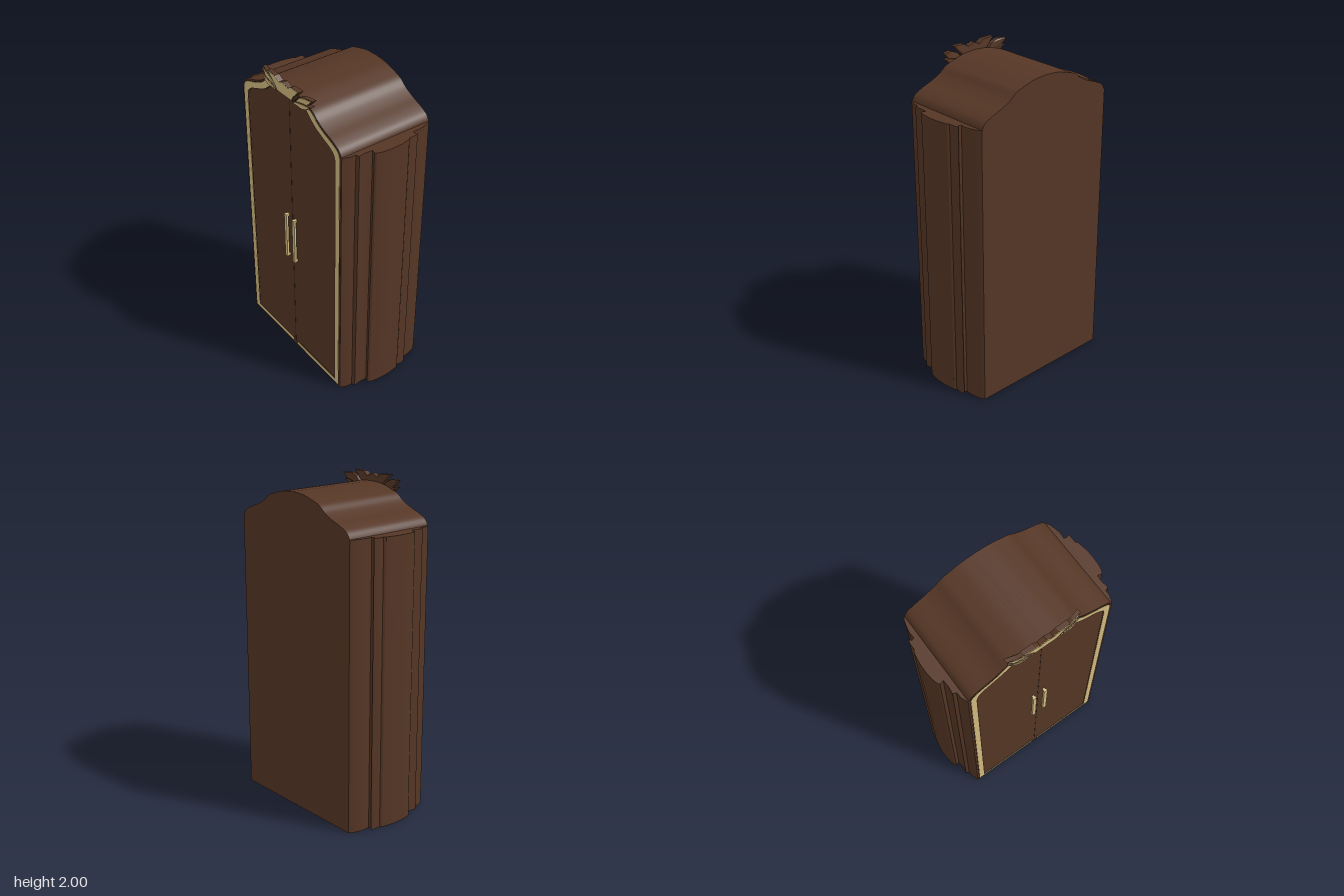
import * as THREE from 'three';
import { toCreasedNormals } from 'three/addons/utils/BufferGeometryUtils.js';

const V = (p) => new THREE.Vector2(p[0], p[1]);
const smooth = (pts, n = 24) => new THREE.SplineCurve(pts.map(V)).getPoints(n);

export function createModel() {
  const wood = new THREE.MeshStandardMaterial({ color: 0x553625 });
  wood.name = 'walnut wood';
  const groove = new THREE.MeshStandardMaterial({ color: 0x38241a });
  groove.name = 'dark groove';
  const gold = new THREE.MeshStandardMaterial({ color: 0xd3bc80 });
  gold.name = 'pale gold';

  const FRONT = 0.28, BACK = -0.32;
  const group = new THREE.Group();
  group.name = 'wardrobe';

  const add = (name, geometry, material, parent = group) => {
    const mesh = new THREE.Mesh(geometry, material);
    mesh.name = name;
    parent.add(mesh);
    return mesh;
  };
  // Extrude a 2D outline along z, starting at z
  const slab = (points, z, depth) => {
    const g = new THREE.ExtrudeGeometry(new THREE.Shape(points), { depth, bevelEnabled: false });
    return g.translate(0, 0, z);
  };

  // Carcass with an arched, wavy top
  const half = smooth([[0.475, 1.75], [0.452, 1.785], [0.4, 1.812], [0.33, 1.838], [0.27, 1.868],
    [0.225, 1.902], [0.17, 1.922], [0.09, 1.943], [0, 1.95]], 32);
  const arch = [...half, ...half.slice(0, -1).reverse().map((p) => V([-p.x, p.y]))];
  const outline = [V([-0.475, 0]), V([0.475, 0]), ...arch];
  add('carcass', toCreasedNormals(slab(outline, BACK, FRONT - BACK), 0.5), wood);

  // Moulded side columns: stepped profile in plan (x, z)
  const profile = [[0.47, -0.32], [0.477, -0.32], [0.49, -0.3], [0.5, -0.262], [0.507, -0.225],
    [0.504, -0.185], [0.52, -0.18], [0.532, -0.193], [0.54, -0.175], [0.54, -0.13], [0.55, -0.12],
    [0.559, -0.07], [0.563, -0.03], [0.563, 0.02], [0.558, 0.07], [0.549, 0.102], [0.54, 0.112],
    [0.515, 0.104], [0.512, 0.15], [0.518, 0.194], [0.497, 0.202], [0.494, 0.24], [0.478, 0.28], [0.47, 0.28]];
  for (const s of [1, -1]) {
    const g = slab(profile.map(([x, z]) => V([s * x, -z])), 0, 1.75).rotateX(-Math.PI / 2);
    add(s > 0 ? 'leftColumn' : 'rightColumn', toCreasedNormals(g, 0.45), wood);
  }

  // Inlaid frame on each door; e widens the band for the groove around it
  const outer = smooth([[0.461, 1.74], [0.445, 1.772], [0.4, 1.797], [0.33, 1.822], [0.265, 1.855],
    [0.22, 1.892], [0.165, 1.909]]);
  const inner = smooth([[0.155, 1.897], [0.195, 1.862], [0.25, 1.822], [0.32, 1.79], [0.385, 1.762],
    [0.418, 1.73], [0.428, 1.69]]);
  const band = (s, e) => [
    [0.024 - e / 2, 0.016 - e], [0.461 + e, 0.016 - e],
    ...outer.map((p) => [p.x + e, p.y + e * 0.6]),
    ...inner.map((p) => [p.x - e, p.y - e * 0.6]),
    [0.428 - e, 0.039 + e], [0.024 - e / 2, 0.039 + e],
  ].map(([x, y]) => V([s * x, y]));
  for (const s of [1, -1]) {
    const side = s > 0 ? 'left' : 'right';
    add(side + 'DoorGroove', slab(band(s, 0.007), FRONT, 0.001), groove);
    add(side + 'DoorInlay', slab(band(s, 0), FRONT, 0.0025), gold);
  }

  // Seam between the doors and along their top edge
  const seam = new THREE.BoxGeometry(0.005, 1.89, 0.002);
  add('doorSeam', seam, groove).position.set(0, 0.945, FRONT);
  const lintel = [[-0.16, 1.905], [-0.09, 1.903], [0, 1.888], [0.09, 1.903], [0.16, 1.905],
    [0.09, 1.907], [0, 1.892], [-0.09, 1.907]];
  add('doorTopSeam', slab(lintel.map(V), FRONT, 0.001), groove);

  // Bar handles on two short posts
  for (const s of [1, -1]) {
    const handle = new THREE.Group();
    handle.name = s > 0 ? 'leftHandle' : 'rightHandle';
    add('bar', new THREE.BoxGeometry(0.024, 0.32, 0.014), gold, handle).position.z = 0.018;
    for (const y of [0.152, -0.152]) {
      add('post', new THREE.BoxGeometry(0.016, 0.016, 0.014), gold, handle).position.set(0, y, 0.006);
    }
    handle.position.set(s * 0.04, 0.905, FRONT);
    group.add(handle);
  }

  // Crest of leaves, leaning forward at the top and curving back at the ends
  const crest = new THREE.Group();
  crest.name = 'crest';
  group.add(crest);
  const bend = (g) => {
    const p = g.attributes.position;
    for (let i = 0; i < p.count; i++) {
      const x = Math.abs(p.getX(i));
      const back = 0.02 * Math.max(0, (x - 0.14) / 0.1) ** 2;
      p.setZ(i, p.getZ(i) - back + 0.08 * (p.getY(i) - 1.95));
    }
    g.computeVertexNormals();
    return g;
  };
  const leaf = (name, pts, z, depth, inset = 0.86) => {
    const cx = pts.reduce((a, p) => a + p[0], 0) / pts.length;
    const cy = pts.reduce((a, p) => a + p[1], 0) / pts.length;
    const face = pts.map(([x, y]) => V([cx + (x - cx) * inset, cy + (y - cy) * inset]));
    add(name, bend(slab(pts.map(V), z, depth)), wood, crest);
    add(name + 'Face', bend(slab(face, z + depth, 0.003)), gold, crest);
  };
  const crown = [[-0.07, 1.908], [0.07, 1.908], [0.095, 1.945], [0.15, 2], [0.075, 1.998],
    [0.042, 1.976], [0, 1.994], [-0.042, 1.976], [-0.075, 1.998], [-0.15, 2], [-0.095, 1.945]];
  leaf('crownLeaf', crown, 0.283, 0.03, 0.95);
  const leaves = {
    UpperLeaf: [[0.09, 1.915], [0.15, 1.925], [0.205, 1.942], [0.237, 1.978], [0.18, 1.979], [0.135, 1.962]],
    LowerLeaf: [[0.07, 1.903], [0.165, 1.903], [0.2, 1.915], [0.228, 1.938], [0.17, 1.938], [0.11, 1.925]],
  };
  for (const s of [1, -1]) {
    for (const [name, pts] of Object.entries(leaves)) {
      const lower = name === 'LowerLeaf';
      leaf((s > 0 ? 'left' : 'right') + name, pts.map(([x, y]) => [s * x, y]), lower ? 0.285 : 0.281, lower ? 0.029 : 0.026);
    }
  }
  return group;
}
